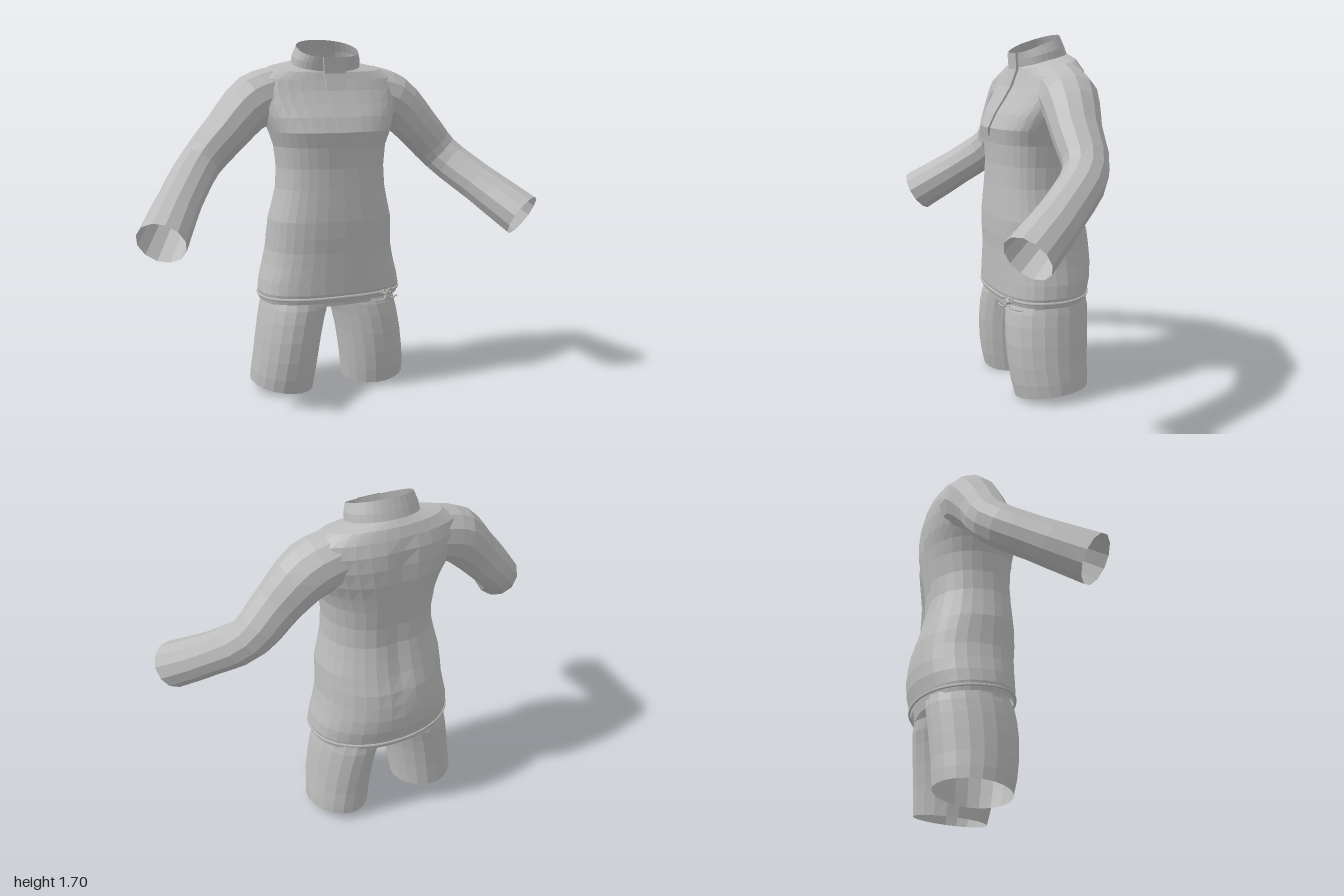
import * as THREE from 'three';

const V = (x, y, z) => new THREE.Vector3(x, y, z);

// Faceted skin over a list of rings (or open strips) with equal point counts
function loft(rings, closed = true) {
  const n = rings[0].length, index = [];
  const g = new THREE.BufferGeometry().setFromPoints(rings.flat());
  for (let i = 0; i < rings.length - 1; i++) {
    for (let j = 0; j < (closed ? n : n - 1); j++) {
      const a = i * n + j, b = i * n + (j + 1) % n, c = a + n, d = b + n;
      index.push(a, c, b, b, c, d);
    }
  }
  g.setIndex(index);
  const flat = g.toNonIndexed();
  flat.computeVertexNormals();
  return flat;
}

// Rounded cross-section: x range, front and back z, front and back height, side tilt,
// squareness of the front and back halves, and where the widest line lies
function section({ x0, x1, zf, zb, yf, yb = yf, tilt = 0, pf = 2.6, pb = 2.1, wide = 0.56, n = 32 }) {
  const zm = THREE.MathUtils.lerp(zb, zf, wide);
  return Array.from({ length: n }, (_, i) => {
    const a = i / n * Math.PI * 2, p = Math.sin(a) > 0 ? pf : pb;
    const pow = v => Math.sign(v) * Math.abs(v) ** (2 / p);
    const c = pow(Math.cos(a)), s = pow(Math.sin(a));
    return V((x0 + x1) / 2 + c * (x1 - x0) / 2, yf + (yb - yf) * (1 - s) / 2 + tilt * c,
      zm + s * (s > 0 ? zf - zm : zm - zb));
  });
}
const bodyRing = ([yf, yb, rx, zf, zb]) => section({ x0: -rx, x1: rx, zf, zb, yf, yb });

export function createModel() {
  const model = new THREE.Group();
  const cloth = new THREE.MeshStandardMaterial({ color: 0xbcbcbc, side: THREE.DoubleSide });
  cloth.name = 'grey cloth';
  const add = (name, geometry) => {
    const m = new THREE.Mesh(geometry, cloth);
    m.name = name;
    model.add(m);
    return m;
  };

  // Tunic body: front height, back height, half width, front z, back z
  const body = [
    [0.455, 0.455, 0.352, 0.13, -0.322], [0.50, 0.50, 0.36, 0.14, -0.33],
    [0.56, 0.56, 0.35, 0.14, -0.345], [0.63, 0.63, 0.33, 0.14, -0.35],
    [0.70, 0.70, 0.315, 0.14, -0.345], [0.77, 0.77, 0.31, 0.145, -0.335],
    [0.85, 0.85, 0.305, 0.145, -0.31], [0.93, 0.93, 0.285, 0.14, -0.29],
    [1.00, 1.00, 0.27, 0.135, -0.275], [1.10, 1.10, 0.265, 0.13, -0.275],
    [1.20, 1.20, 0.275, 0.135, -0.29], [1.27, 1.27, 0.30, 0.147, -0.30],
    [1.34, 1.34, 0.33, 0.115, -0.31], [1.40, 1.42, 0.355, 0.075, -0.31],
    [1.46, 1.49, 0.37, 0.04, -0.30], [1.51, 1.545, 0.355, 0.018, -0.28],
    [1.545, 1.59, 0.28, 0.005, -0.26], [1.555, 1.615, 0.17, 0.0, -0.235],
  ].map(bodyRing);
  // Shallow groove down the spine
  for (const ring of body) {
    for (const v of ring) {
      const along = THREE.MathUtils.smoothstep(v.y, 0.6, 0.9) * (1 - THREE.MathUtils.smoothstep(v.y, 1.4, 1.56));
      if (v.z < -0.15) v.z += 0.02 * along * Math.exp(-((v.x / 0.06) ** 2));
    }
  }
  add('tunicBody', loft(body));

  // Standing collar, thin-walled
  add('collar', loft([
    [1.55, 1.61, 0.17, 0.004, -0.237], [1.585, 1.65, 0.167, 0.012, -0.222],
    [1.615, 1.70, 0.152, 0.02, -0.20],
  ].map(bodyRing)));

  // Neck placket: height, depth, half width
  add('placket', loft([
    [1.615, 0.026, 0.058], [1.54, 0.022, 0.054], [1.46, 0.05, 0.049], [1.40, 0.085, 0.045],
    [1.34, 0.123, 0.042], [1.27, 0.156, 0.038], [1.23, 0.147, 0.010],
  ].map(([y, z, w]) => [V(w, y, z - 0.012), V(w, y, z), V(-w, y, z), V(-w, y, z - 0.012)]), false));

  // Hips inside the hem
  add('hips', loft([[0.435, 0.435, 0.335, 0.115, -0.30], [0.49, 0.49, 0.335, 0.115, -0.31]].map(bodyRing)));

  // Cord around the hem
  const hem = section({ x0: -0.357, x1: 0.357, zf: 0.137, zb: -0.327, yf: 0.48 });
  add('hemCord', new THREE.TubeGeometry(new THREE.CatmullRomCurve3(hem, true), 96, 0.007, 5, true));

  // Knot with two loops and two loose ends
  const cord = (name, points) =>
    add(name, new THREE.TubeGeometry(new THREE.CatmullRomCurve3(points), 12, 0.005, 5));
  add('knot', new THREE.IcosahedronGeometry(0.018, 0)).position.set(0.23, 0.475, 0.118);
  for (const s of [1, -1]) {
    const at = (x, y, z) => V(0.23 + s * x, y, z - s * x * 0.4);
    cord('knotLoop', [at(0, 0.475, 0.12), at(0.02, 0.495, 0.13), at(0.035, 0.48, 0.125), at(0, 0.47, 0.12)]);
    cord('looseEnd', [at(0, 0.475, 0.12), at(0.015, 0.45, 0.13), at(0.04, 0.445, 0.125), at(0.08, 0.445, 0.11)]);
  }

  for (const s of [1, -1]) {
    const side = s > 0 ? 'left' : 'right';

    // Sleeve swept along shoulder, elbow and wrist
    const path = new THREE.CatmullRomCurve3([
      [0.23, 1.452, -0.13], [0.36, 1.408, -0.12], [0.50, 1.275, -0.10],
      [0.635, 1.13, -0.085], [0.77, 0.988, 0.07], [0.905, 0.84, 0.274],
    ].map(([x, y, z]) => V(s * x, y, z)));
    const radii = [0.128, 0.133, 0.112, 0.10, 0.10, 0.112], steps = 15, rings = [];
    for (let i = 0; i <= steps; i++) {
      const t = i / steps, k = Math.min(Math.floor(t * 5), 4);
      const r = THREE.MathUtils.lerp(radii[k], radii[k + 1], t * 5 - k);
      const c = path.getPoint(t), dir = path.getTangent(t);
      const v = V(0, 0, 1).cross(dir).normalize(), u = dir.clone().cross(v);
      rings.push(Array.from({ length: 12 }, (_, j) => {
        const a = j / 12 * Math.PI * 2;
        return c.clone().addScaledVector(u, r * Math.cos(a)).addScaledVector(v, r * Math.sin(a));
      }));
    }
    add(side + 'Sleeve', loft(rings));

    // Trouser leg: front height, back height, inner x, outer x, front z, back z, tilt
    add(side + 'TrouserLeg', loft([
      [0.01, 0.04, 0.092, 0.402, 0.088, -0.265, 0.02], [0.08, 0.10, 0.083, 0.398, 0.105, -0.268, 0.012],
      [0.17, 0.17, 0.071, 0.388, 0.118, -0.27, 0.005], [0.27, 0.27, 0.055, 0.375, 0.125, -0.278, 0],
      [0.36, 0.36, 0.035, 0.36, 0.122, -0.285, 0], [0.42, 0.42, 0.015, 0.348, 0.115, -0.29, 0],
      [0.47, 0.47, 0, 0.335, 0.10, -0.285, 0],
    ].map(([yf, yb, a, b, zf, zb, tilt]) =>
      section({ x0: s * a, x1: s * b, zf, zb, yf, yb, tilt, pf: 2, pb: 1.9, wide: 0.52, n: 20 }))));
  }
  return model;
}
